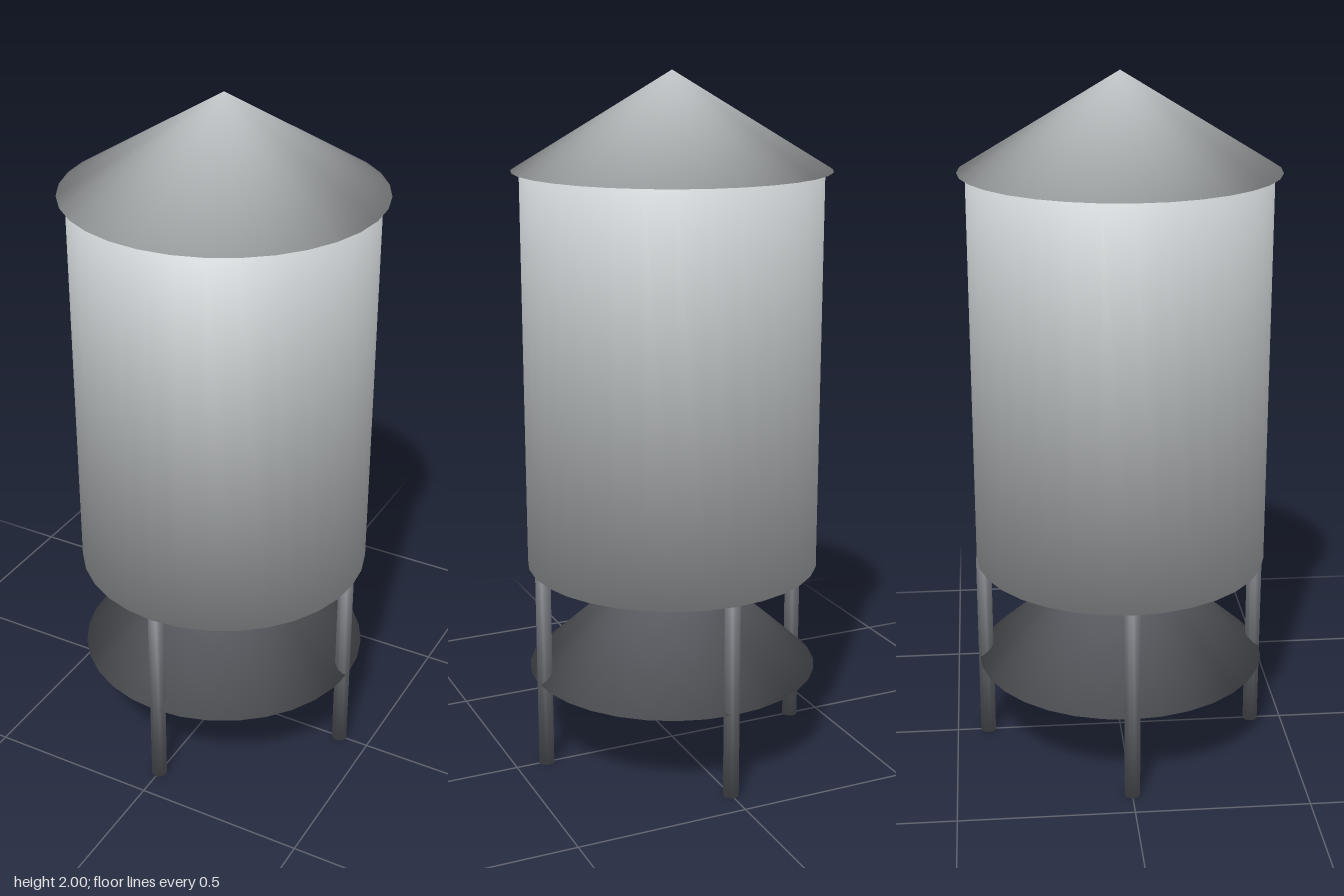
import * as THREE from 'three';

// Closed, softly shaded solid of revolution between two rings (top radius 0 makes a cone).
// Rim normals blend the side and the cap, so the shading rolls over the edges.
function softSolid(r0, y0, r1, y1, sides) {
  const pos = [], nor = [], idx = [];
  const side = new THREE.Vector2(y1 - y0, r0 - r1).normalize();
  const addRing = (r, y, cap) => {
    const n = r > 0 ? new THREE.Vector2(side.x, side.y + cap).normalize() : new THREE.Vector2(0, 1);
    for (let i = 0; i < sides; i++) {
      const a = (i / sides) * Math.PI * 2, s = Math.sin(a), c = Math.cos(a);
      pos.push(r * s, y, r * c);
      nor.push(n.x * s, n.y, n.x * c);
    }
  };
  addRing(r0, y0, -1);
  addRing(r1, y1, 1);
  for (let i = 0; i < sides; i++) {
    const j = (i + 1) % sides;
    idx.push(i, j, sides + i);
    if (r1 > 0) idx.push(j, sides + j, sides + i);
  }
  // Caps
  for (let i = 1; i < sides - 1; i++) {
    idx.push(0, i + 1, i);
    if (r1 > 0) idx.push(sides, sides + i, sides + i + 1);
  }
  const g = new THREE.BufferGeometry();
  g.setAttribute('position', new THREE.Float32BufferAttribute(pos, 3));
  g.setAttribute('normal', new THREE.Float32BufferAttribute(nor, 3));
  g.setIndex(idx);
  return g;
}

export function createModel() {
  const model = new THREE.Group();
  model.name = 'silo';

  const paleMetal = new THREE.MeshStandardMaterial({ color: 0xc8ccce });
  paleMetal.name = 'pale metal';
  const darkMetal = new THREE.MeshStandardMaterial({ color: 0x686b71 });
  darkMetal.name = 'dark metal';

  const add = (name, geometry, material) => {
    const mesh = new THREE.Mesh(geometry, material);
    mesh.name = name;
    model.add(mesh);
    return mesh;
  };

  // Tank, overhanging roof and the cone below
  add('tank', softSolid(0.427, 0.578, 0.427, 1.727, 32), paleMetal);
  add('roof', softSolid(0.45, 1.727, 0, 2, 32), paleMetal);
  add('lowerCone', softSolid(0.427, 0.255, 0, 0.64, 32), darkMetal);

  // Four legs, one on each axis
  const legGeometry = softSolid(0.0225, 0, 0.0225, 0.578, 12);
  ['frontLeg', 'leftLeg', 'backLeg', 'rightLeg'].forEach((name, i) => {
    const a = (i * Math.PI) / 2;
    add(name, legGeometry, darkMetal).position.set(0.407 * Math.sin(a), 0, 0.407 * Math.cos(a));
  });

  return model;
}
